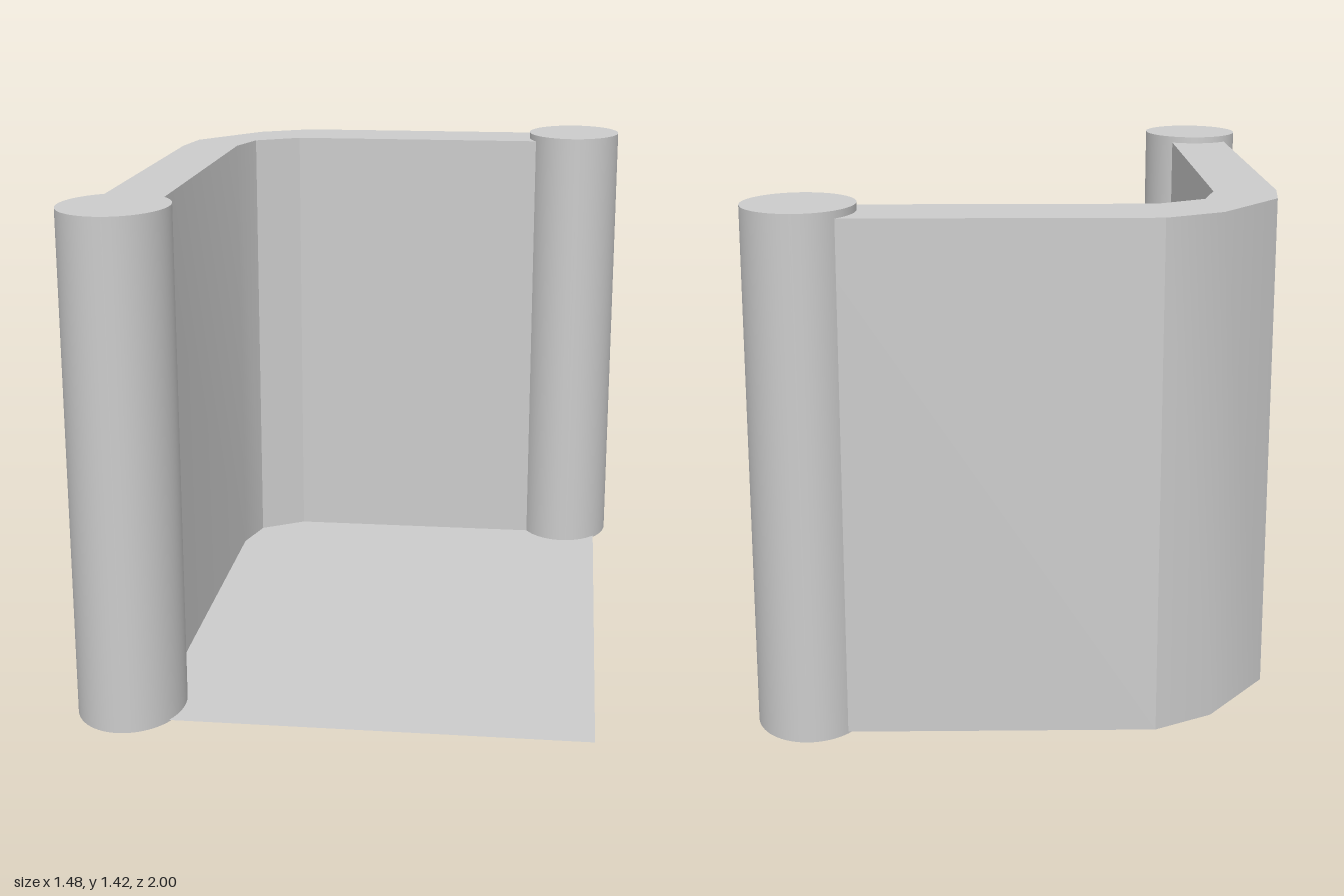
import * as THREE from 'three';
import { toCreasedNormals } from 'three/addons/utils/BufferGeometryUtils.js';

const FLOOR_Y = 0.005, WALL_TOP = 1.4, PILLAR_TOP = 1.42;

// Plan outlines as [x, z], from the front end of the side wall round to the back wall's end
const OUTER = [[-0.695, 0.81], [-0.695, -0.47], [-0.675, -0.624], [-0.503, -0.857], [-0.344, -0.947], [0.59, -0.947]];
const INNER = [[-0.518, 0.81], [-0.518, -0.49], [-0.48, -0.63], [-0.344, -0.714], [0.59, -0.714]];

export function createModel() {
  const group = new THREE.Group();
  const solid = new THREE.MeshStandardMaterial({ color: 0xcccccc });
  const thin = new THREE.MeshStandardMaterial({ color: 0xcccccc, side: THREE.DoubleSide });

  const add = (name, geometry, material) => {
    const mesh = new THREE.Mesh(geometry, material);
    mesh.name = name;
    group.add(mesh);
    return mesh;
  };

  // Upright sheet following a plan outline
  const sheet = (points) => {
    const pos = [];
    for (let i = 0; i < points.length - 1; i++) {
      const [ax, az] = points[i], [bx, bz] = points[i + 1];
      const a0 = [ax, FLOOR_Y, az], a1 = [ax, WALL_TOP, az];
      const b0 = [bx, FLOOR_Y, bz], b1 = [bx, WALL_TOP, bz];
      pos.push(...a0, ...b1, ...b0, ...a0, ...a1, ...b1);
    }
    const g = new THREE.BufferGeometry();
    g.setAttribute('position', new THREE.Float32BufferAttribute(pos, 3));
    return toCreasedNormals(g, 0.5);
  };

  // Horizontal sheet filling a plan outline
  const slab = (points, y) =>
    new THREE.ShapeGeometry(new THREE.Shape(points.map(([x, z]) => new THREE.Vector2(x, -z))))
      .rotateX(-Math.PI / 2).translate(0, y, 0);

  // Hollow wall, open underneath
  add('outerWall', sheet(OUTER), thin);
  add('innerWall', sheet([...INNER].reverse()), thin);
  add('wallTop', slab([...OUTER, ...[...INNER].reverse()], WALL_TOP), thin);

  // Floor bounded by the inner wall face
  add('floor', slab([[-0.518, 0.915], ...INNER.slice(1, -1), [0.7, -0.714], [0.7, 0.915]], FLOOR_Y), thin);

  // Oval pillars at the two free ends of the wall
  for (const [name, x, z] of [['frontPillar', -0.593, 0.813], ['backPillar', 0.59, -0.814]]) {
    const pillar = add(name, new THREE.CylinderGeometry(1, 1, PILLAR_TOP, 64), solid);
    pillar.scale.set(0.15, 1, 0.186);
    pillar.position.set(x, PILLAR_TOP / 2, z);
  }

  return group;
}
